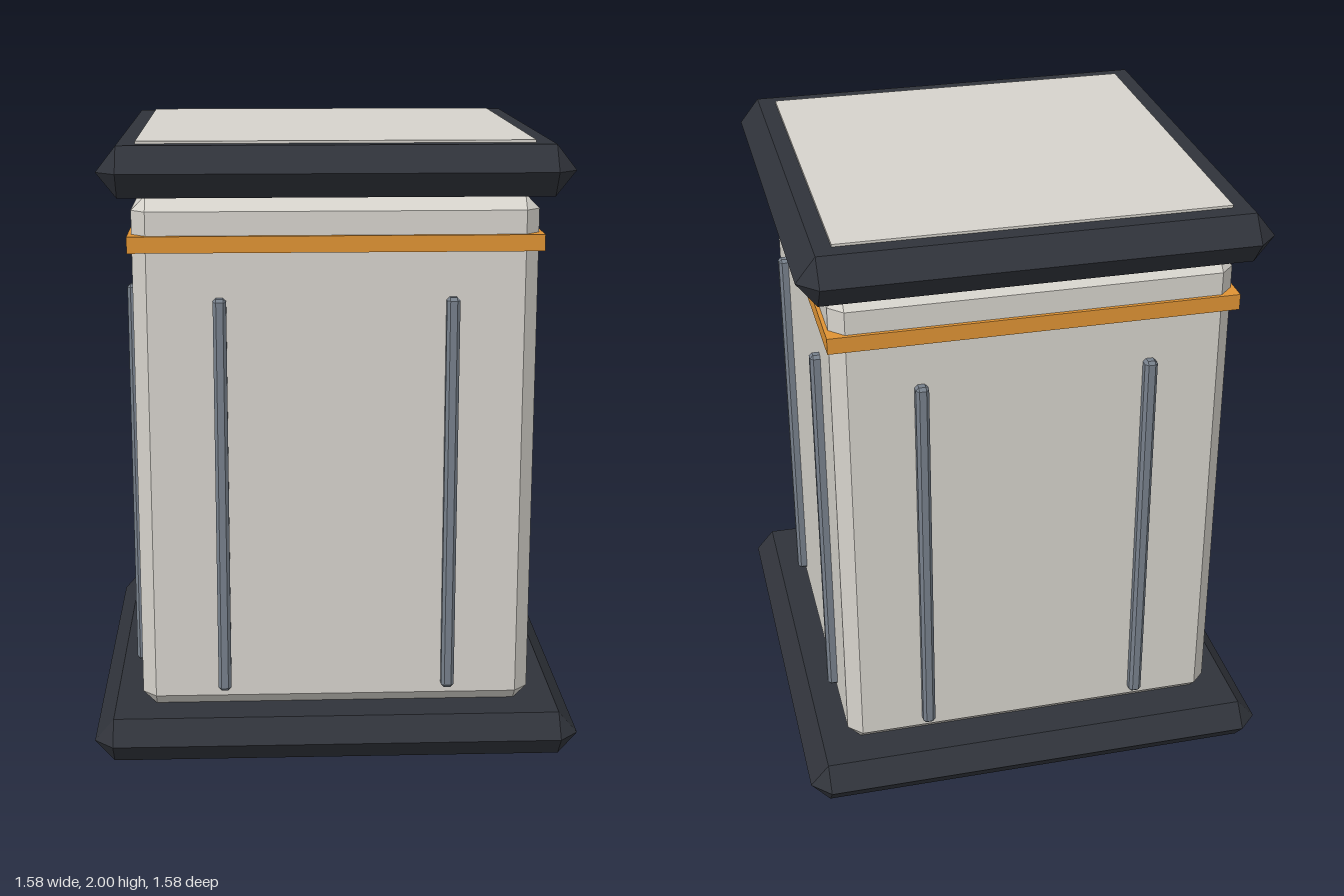
import * as THREE from 'three';
import { ConvexGeometry } from 'three/addons/geometries/ConvexGeometry.js';

const paint = (color) => new THREE.MeshStandardMaterial({ color, flatShading: true });

// Box with one flat chamfer per edge: r is the inset in plan, ry the inset in height
function chamferBox(w, h, d, r, ry = r) {
  const [x, y, z] = [w / 2, h / 2, d / 2];
  const points = [];
  for (const sx of [-1, 1]) for (const sz of [-1, 1]) {
    for (const sy of [-1, 1]) points.push(new THREE.Vector3(sx * (x - r), sy * y, sz * (z - r)));
    // the side rings merge into one when the chamfer takes the full height
    for (const sy of ry < y ? [-1, 1] : [0]) {
      points.push(new THREE.Vector3(sx * x, sy * (y - ry), sz * (z - r)));
      points.push(new THREE.Vector3(sx * (x - r), sy * (y - ry), sz * z));
    }
  }
  return new ConvexGeometry(points);
}

export function createModel() {
  const model = new THREE.Group();
  model.name = 'pedestal';
  const dark = paint(0x30333a);
  const stone = paint(0xd6d3cc);
  const orange = paint(0xdf9334);
  const steel = paint(0x77808b);

  function add(name, geometry, material, y, parent = model) {
    const mesh = new THREE.Mesh(geometry, material);
    mesh.name = name;
    mesh.position.y = y;
    parent.add(mesh);
    return mesh;
  }

  // Plinth, column and cap
  add('base', chamferBox(1.58, 0.144, 1.58, 0.062, 0.072), dark, 0.072);
  add('column', chamferBox(1.276, 1.69, 1.276, 0.045), stone, 0.985);
  add('cap', chamferBox(1.474, 0.16, 1.474, 0.063, 0.08), dark, 1.912);
  add('topPanel', new THREE.BoxGeometry(1.236, 0.02, 1.236), stone, 1.99);

  // Coloured band around the column
  add('band', new THREE.BoxGeometry(1.3, 0.052, 1.3), orange, 1.684);

  // Two upright strips on each of the four sides
  const stripGeometry = chamferBox(0.042, 1.305, 0.05, 0.01);
  for (let side = 0; side < 4; side++) {
    const strips = new THREE.Group();
    strips.name = `sideStrips${side + 1}`;
    strips.rotation.y = side * Math.PI / 2;
    for (const x of [-0.366, 0.366]) {
      const strip = add('strip', stripGeometry, steel, 0.8625, strips);
      strip.position.x = x;
      strip.position.z = 0.645;
    }
    model.add(strips);
  }
  return model;
}
